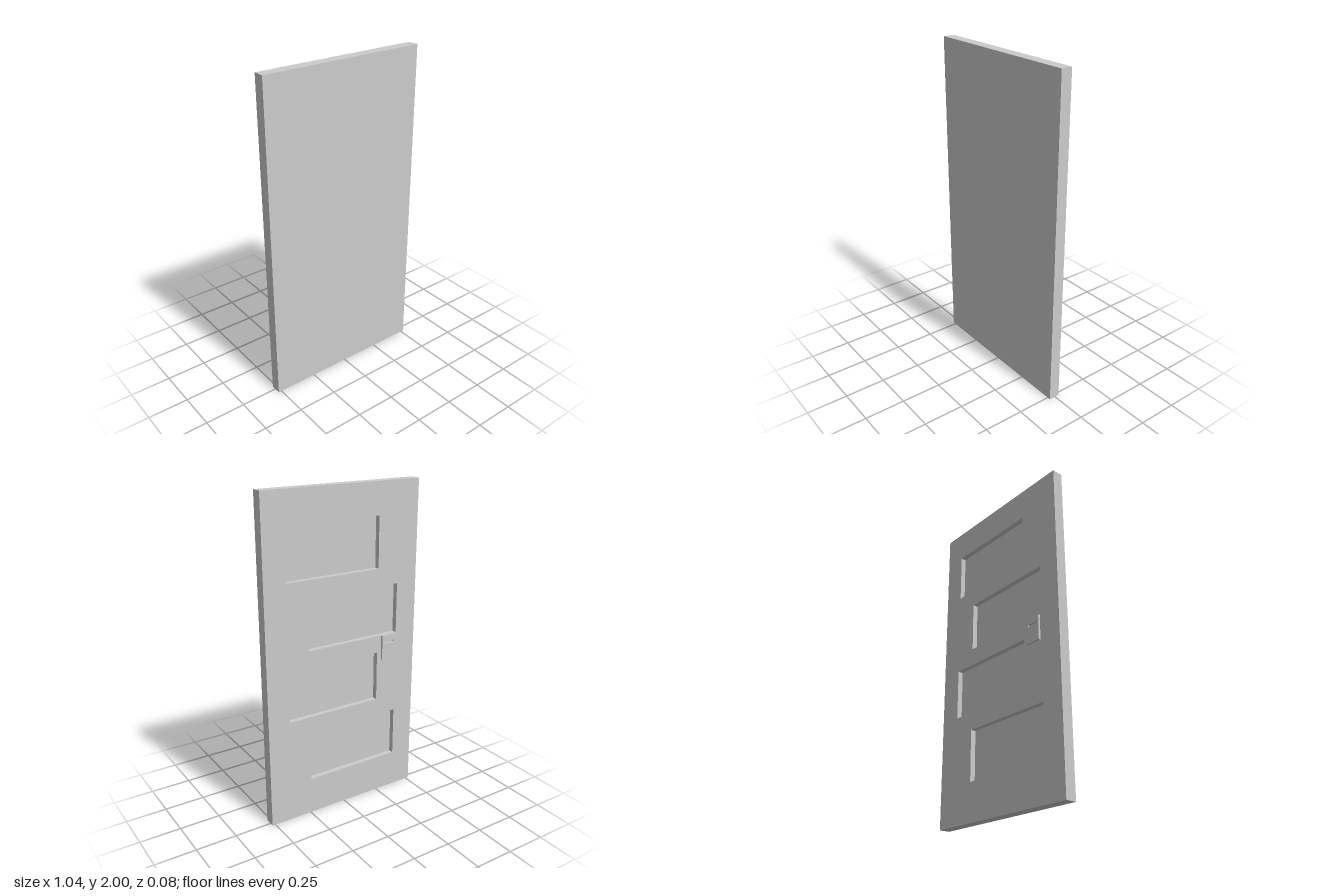
import * as THREE from 'three';

const material = new THREE.MeshStandardMaterial({ color: 0xcccccc, flatShading: true });

// Rectangle given by its left, right, bottom and top edges
function rect(PathType, [x0, x1, y0, y1]) {
  const p = new PathType();
  p.moveTo(x0, y0);
  p.lineTo(x1, y0);
  p.lineTo(x1, y1);
  p.lineTo(x0, y1);
  p.closePath();
  return p;
}

// Flat board between two z values with rectangular openings
function board(name, outline, holes, zBack, zFront) {
  const shape = rect(THREE.Shape, outline);
  shape.holes = holes.map((h) => rect(THREE.Path, h));
  const geometry = new THREE.ExtrudeGeometry(shape, { depth: zFront - zBack, bevelEnabled: false });
  geometry.translate(0, 0, zBack);
  const mesh = new THREE.Mesh(geometry, material);
  mesh.name = name;
  return mesh;
}

export function createModel() {
  const door = new THREE.Group();
  door.name = 'door';

  const outline = [-0.52, 0.52, 0, 2];
  const zBack = -0.028, zMid = 0.005, zFront = 0.04;

  // Four recessed panels, staggered to alternate sides
  const panels = [];
  for (let i = 0; i < 4; i++) {
    const x = i % 2 ? 0.07 : -0.07;
    const y = 0.391 + i * 0.4195;
    panels.push([x - 0.31, x + 0.31, y - 0.156, y + 0.156]);
  }

  door.add(board('doorSlab', outline, [], zMid, zFront));
  door.add(board('panelFrame', outline, panels, zBack, zMid));

  // Lock plate with a narrow card slot
  const slot = [-0.357, -0.283, 1.02, 1.035];
  door.add(board('lockPlate', [-0.37, -0.27, 0.917, 1.072], [slot], -0.041, zBack));

  return door;
}
